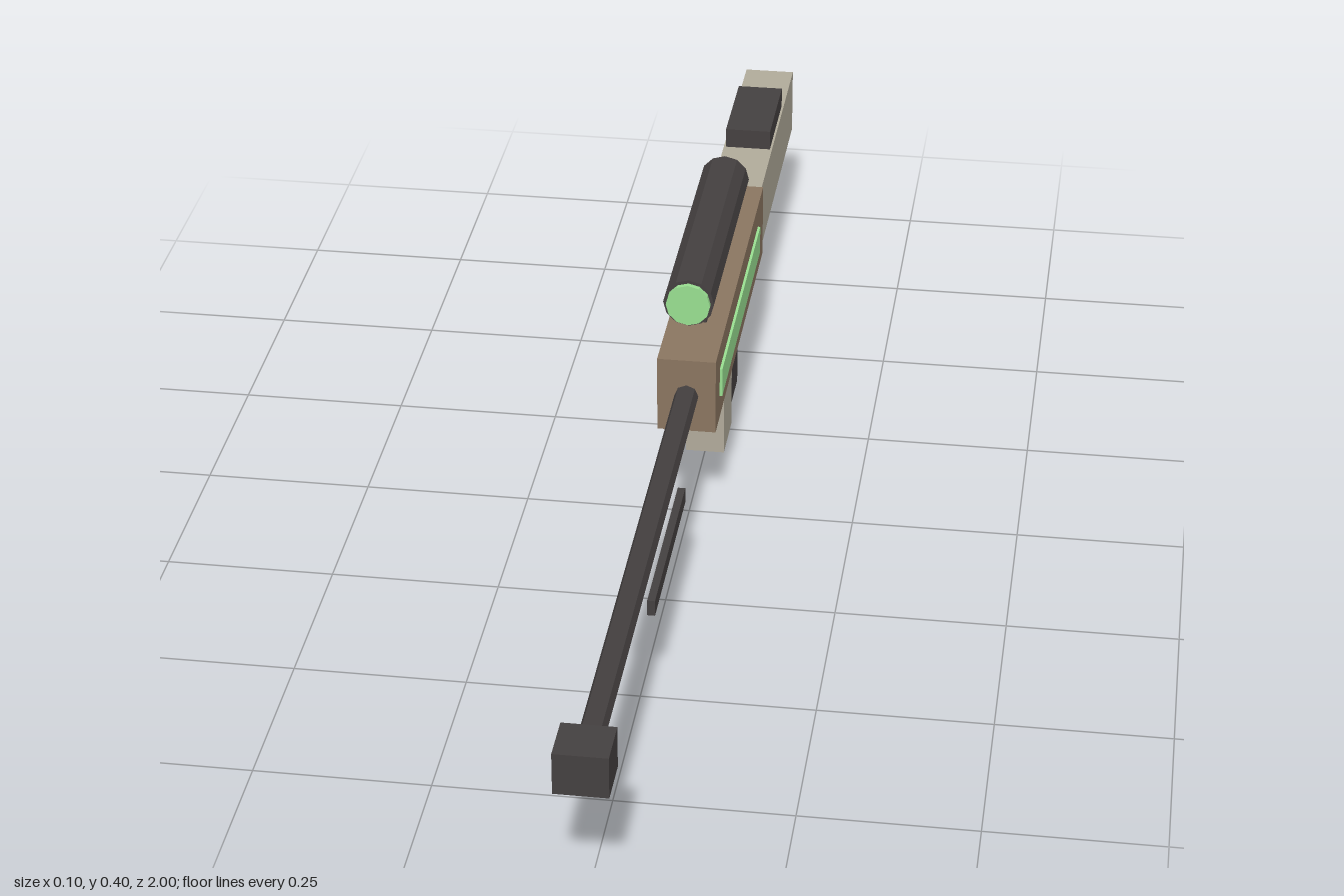
import * as THREE from 'three';

const mat = (color) => new THREE.MeshStandardMaterial({ color, flatShading: true });

export function createModel() {
  const model = new THREE.Group();
  const brown = mat(0x8a7560);
  const stone = mat(0xb0aa9a);
  const dark = mat(0x444040);
  const green = mat(0x98de90);

  function add(name, geometry, material, x, y, z) {
    const mesh = new THREE.Mesh(geometry, material);
    mesh.name = name;
    mesh.position.set(x, y, z);
    model.add(mesh);
    return mesh;
  }

  // Box given by its centre x, width and its y and z limits
  const box = (name, material, x, width, y0, y1, z0, z1) =>
    add(name, new THREE.BoxGeometry(width, y1 - y0, z1 - z0), material, x, (y0 + y1) / 2, (z0 + z1) / 2);

  // Cylinder lying along z
  const rod = (name, material, radius, sides, y, z0, z1) =>
    add(name, new THREE.CylinderGeometry(radius, radius, z1 - z0, sides).rotateX(Math.PI / 2),
      material, 0, y, (z0 + z1) / 2);

  // Receiver and stock
  box('receiver', brown, 0, 0.088, 0.16, 0.28, -0.547, 0.03);
  box('stock', stone, 0, 0.08, 0.164, 0.272, -1, -0.54);
  box('cheekRest', dark, 0, 0.073, 0.268, 0.304, -0.866, -0.7);

  // Barrel and muzzle block
  rod('barrel', dark, 0.018, 8, 0.22, 0.02, 0.95);
  box('muzzle', dark, 0, 0.074, 0.189, 0.251, 0.93, 1);

  // Magazine and grip
  box('magazine', stone, 0, 0.06, 0, 0.165, -0.27, -0.178);
  box('grip', dark, 0, 0.05, 0.015, 0.165, -0.38, -0.31);

  // Scope on two mounts
  rod('scope', dark, 0.038, 12, 0.365, -0.405, 0.007);
  rod('scopeLens', green, 0.033, 12, 0.365, -0.01, 0.015);
  for (const z of [-0.114, -0.334])
    box('scopeMount', dark, 0, 0.028, 0.275, 0.335, z - 0.024, z + 0.024);

  // Glowing side panels and folded bipod legs
  for (const side of [1, -1]) {
    box('sidePanel', green, side * 0.044, 0.008, 0.197, 0.243, -0.48, -0.016);
    box('bipodLeg', dark, side * 0.0185, 0.011, 0.148, 0.172, 0.213, 0.515);
  }

  return model;
}
